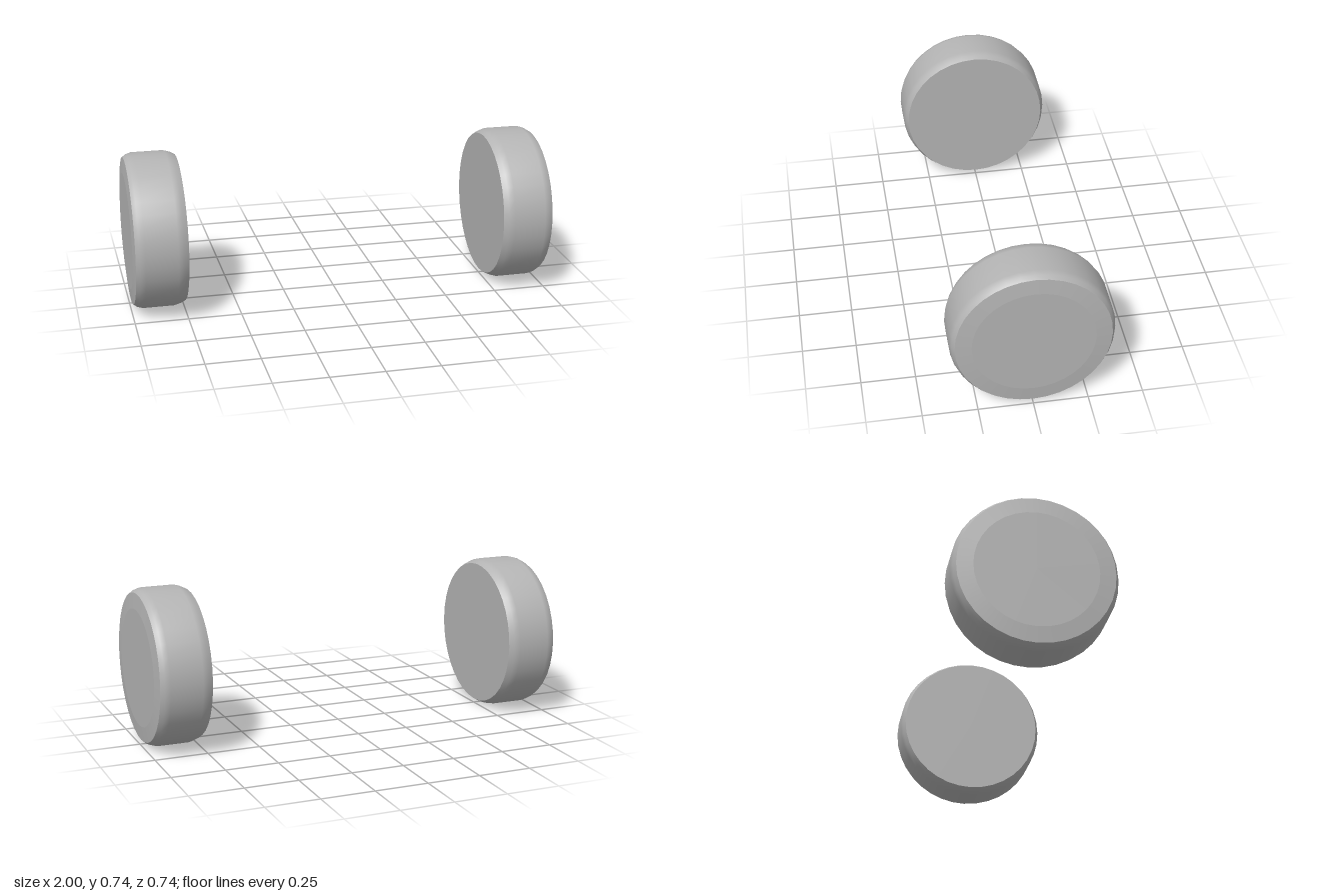
import * as THREE from 'three';

const SEGMENTS = 36;
const RADIUS = 0.368;
const FACE_RADIUS = 0.348;

export function createModel() {
  const model = new THREE.Group();
  model.name = 'wheelPair';
  const grey = new THREE.MeshStandardMaterial({ color: 0xb4b4b4 });
  grey.name = 'wheel grey';

  // Each profile is a list of [radius, distance from the model's middle].
  const profiles = {
    innerFace: [[0, 0.75], [FACE_RADIUS, 0.75]],
    tread: [[FACE_RADIUS, 0.75], [0.36, 0.772], [RADIUS, 0.8], [RADIUS, 0.95], [0.36, 0.975], [FACE_RADIUS, 0.993]],
    outerRing: [[FACE_RADIUS, 0.993], [0.275, 1]],
    hubDisc: [[0.275, 1], [0, 1]],
  };

  // One wheel on each side, turned about the shared axle line
  for (const [name, side] of [['leftWheel', 1], ['rightWheel', -1]]) {
    const wheel = new THREE.Group();
    wheel.name = name;
    for (const [part, profile] of Object.entries(profiles)) {
      const points = profile.map(([r, d]) => new THREE.Vector2(r, d));
      const mesh = new THREE.Mesh(new THREE.LatheGeometry(points, SEGMENTS), grey);
      mesh.name = part;
      wheel.add(mesh);
    }
    wheel.rotation.z = -side * Math.PI / 2;
    wheel.position.y = RADIUS;
    model.add(wheel);
  }
  return model;
}
